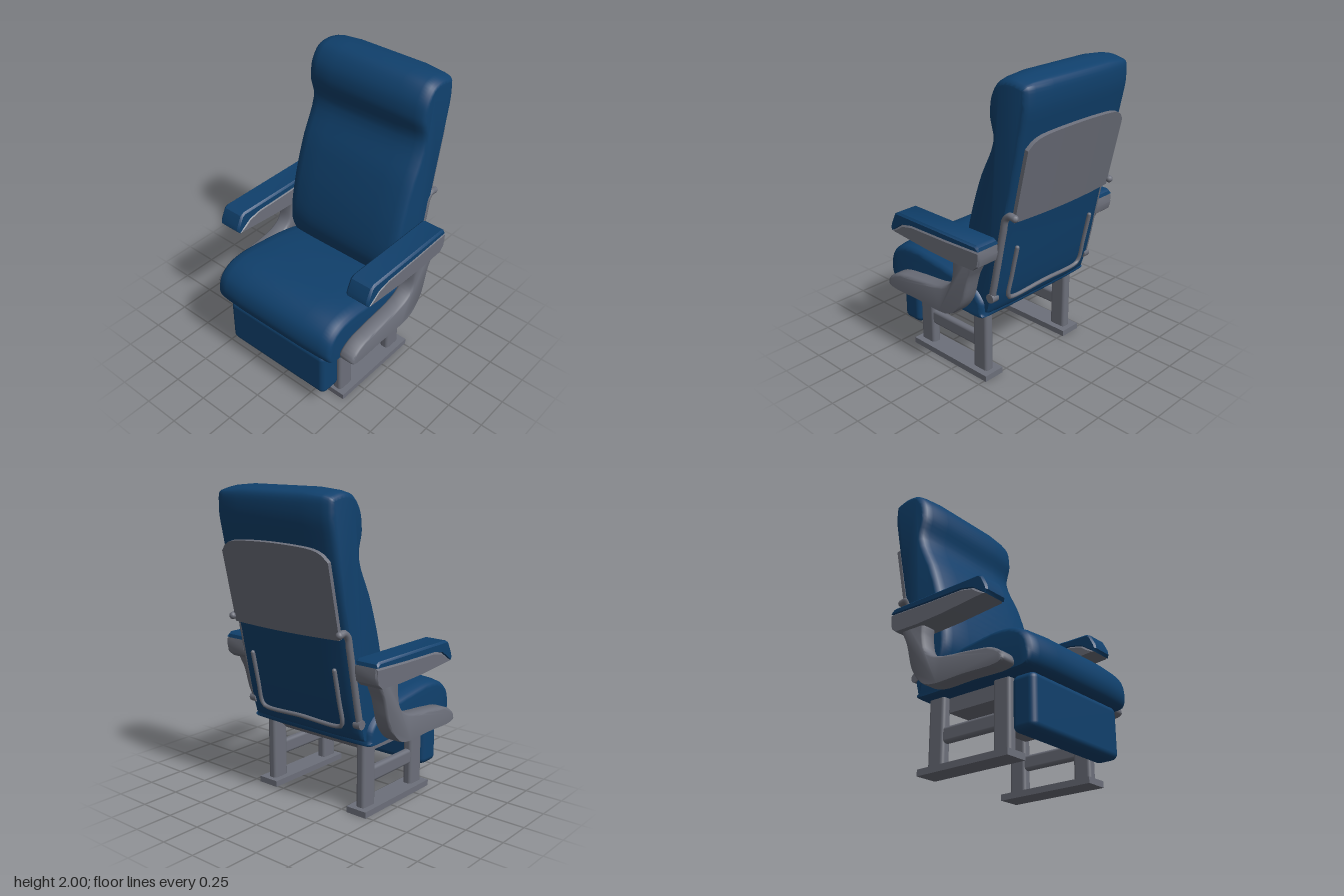
import * as THREE from 'three';
import { toCreasedNormals } from 'three/addons/utils/BufferGeometryUtils.js';
import { RoundedBoxGeometry } from 'three/addons/geometries/RoundedBoxGeometry.js';

const fabric = new THREE.MeshStandardMaterial({ color: 0x10406c });
fabric.name = 'blue fabric';
const metal = new THREE.MeshStandardMaterial({ color: 0x6c6f7a });
metal.name = 'grey metal';

function add(parent, name, geometry, material, x = 0, y = 0, z = 0) {
  const mesh = new THREE.Mesh(geometry, material);
  mesh.name = name;
  mesh.position.set(x, y, z);
  parent.add(mesh);
  return mesh;
}

// Smooth closed outline through [z, y] points
function smooth(points, count) {
  const curve = new THREE.CatmullRomCurve3(points.map(([z, y]) => new THREE.Vector3(z, y, 0)), true, 'centripetal');
  return curve.getPoints(count).slice(0, -1).map((p) => [p.x, p.y]);
}

// Side outline [z, y] carried along x; each section is [x, inset]
function loft(outline, sections, crease = 0.6) {
  let pts = outline.map(([z, y]) => new THREE.Vector2(z, y));
  if (THREE.ShapeUtils.isClockWise(pts)) pts = pts.reverse();
  const n = pts.length;
  const normals = pts.map((p, i) => {
    const t = pts[(i + 1) % n].clone().sub(pts[(i + n - 1) % n]).normalize();
    return new THREE.Vector2(t.y, -t.x);
  });
  const positions = [];
  const index = [];
  for (const [x, inset] of sections) {
    pts.forEach((p, i) => {
      const m = normals[i];
      const d = inset * (1 - 0.8 * Math.max(0, -m.y)); // undersides stay flatter
      positions.push(x, p.y - m.y * d, p.x - m.x * d);
    });
  }
  for (let s = 0; s < sections.length - 1; s++) {
    for (let j = 0; j < n; j++) {
      const k = (j + 1) % n;
      const a = s * n + j, b = s * n + k, c = a + n, d = b + n;
      index.push(a, c, b, c, d, b);
    }
  }
  const last = (sections.length - 1) * n;
  for (const [a, b, c] of THREE.ShapeUtils.triangulateShape(pts, [])) {
    index.push(a, b, c, last + a, last + c, last + b);
  }
  const g = new THREE.BufferGeometry();
  g.setAttribute('position', new THREE.Float32BufferAttribute(positions, 3));
  g.setIndex(index);
  return toCreasedNormals(g, crease);
}

// Mirrored sections from the outer half, widest first
const mirrored = (half) => [
  ...half.map(([x, d]) => [-x, d]),
  ...half.slice().reverse(),
];

function rod(points, radius) {
  const path = new THREE.CatmullRomCurve3(points.map((p) => new THREE.Vector3(...p)), false, 'centripetal');
  return new THREE.TubeGeometry(path, 48, radius, 10, false);
}

function rodWithEnds(parent, name, points, radius) {
  add(parent, name, rod(points, radius), metal);
  for (const p of [points[0], points[points.length - 1]]) {
    add(parent, name + 'End', new THREE.SphereGeometry(radius, 10, 8), metal, ...p);
  }
}

export function createModel() {
  const model = new THREE.Group();
  model.name = 'reclinerSeat';

  // Backrest with headrest bulge
  const back = smooth([
    [-0.44, 2.0], [-0.36, 1.975], [-0.295, 1.89], [-0.275, 1.78], [-0.3, 1.62], [-0.19, 1.36],
    [-0.095, 1.05], [-0.062, 0.82], [-0.09, 0.7], [-0.2, 0.52], [-0.28, 0.495], [-0.32, 0.54],
    [-0.455, 1.15], [-0.57, 1.68], [-0.603, 1.87], [-0.59, 1.965], [-0.53, 1.99],
  ], 80);
  add(model, 'backrest', loft(back, mirrored([[0.45, 0.05], [0.442, 0.035], [0.425, 0.022], [0.38, 0.012], [0.25, 0]]), 0.8), fabric);

  // Seat cushion
  const seat = smooth([
    [0.61, 0.57], [0.6, 0.51], [0.57, 0.472], [0.52, 0.46], [0.3, 0.46], [0, 0.46], [-0.25, 0.46], [-0.275, 0.47],
    [-0.28, 0.52], [-0.27, 0.575], [-0.2, 0.65], [-0.06, 0.695], [0.15, 0.73], [0.38, 0.75], [0.5, 0.725], [0.58, 0.66],
  ], 72);
  add(model, 'seatCushion', loft(seat, mirrored([[0.48, 0.05], [0.474, 0.033], [0.455, 0.02], [0.4, 0.01], [0.25, 0]]), 0.8), fabric);

  // Leg rest and the pan below the seat
  add(model, 'legRest', new RoundedBoxGeometry(0.82, 0.33, 0.16, 3, 0.04), fabric, 0, 0.295, 0.48);
  const pan = [[0.39, 0.465], [0.27, 0.37], [-0.11, 0.37], [-0.22, 0.465]];
  add(model, 'seatPan', loft(pan, [[-0.36, 0], [0.36, 0]]), metal);

  // Curved shell on the back
  const shell = new THREE.BoxGeometry(0.84, 0.55, 0.025, 24, 8, 1);
  const pos = shell.attributes.position;
  for (let i = 0; i < pos.count; i++) {
    const x = pos.getX(i);
    const t = Math.abs(x) / 0.42;
    const up = (pos.getY(i) + 0.275) / 0.55;
    pos.setY(i, up * (0.55 - 0.03 * t * t - 0.06 * t ** 10));
    pos.setZ(i, pos.getZ(i) + 0.1 * x * x);
  }
  const shellMesh = add(model, 'backShell', toCreasedNormals(shell, 0.6), metal, 0, 1.15, -0.482);
  shellMesh.rotation.x = -0.212;

  // Pocket frame: a U-shaped rod
  rodWithEnds(model, 'pocketFrame', [
    [-0.335, 0.95, -0.42], [-0.335, 0.75, -0.376], [-0.335, 0.61, -0.346], [-0.315, 0.585, -0.34],
    [0, 0.585, -0.342], [0.315, 0.585, -0.34], [0.335, 0.61, -0.346], [0.335, 0.75, -0.376], [0.335, 0.95, -0.42],
  ], 0.014);

  // Armrest outlines; the pad sits on the trim line
  const trimLine = [[0.385, 0.9], [0.34, 0.93], [0.29, 0.965], [0.2, 0.985], [-0.1, 0.99], [-0.375, 1.0]];
  const pad = [...trimLine, [-0.37, 1.022], [-0.35, 1.035], [0.33, 1.035], [0.36, 1.02], [0.395, 0.95], [0.4, 0.92]];
  const trim = [...trimLine, [-0.385, 0.95], [-0.37, 0.9], [-0.33, 0.87], [-0.15, 0.865], [0.05, 0.872], [0.28, 0.89], [0.34, 0.895]];
  const bracket = smooth([
    [-0.135, 0.9], [-0.125, 0.8], [-0.1, 0.7], [-0.02, 0.64], [0.25, 0.602], [0.405, 0.575], [0.485, 0.52], [0.49, 0.485],
    [0.45, 0.465], [0.2, 0.465], [-0.05, 0.465], [-0.13, 0.5], [-0.21, 0.6], [-0.265, 0.78], [-0.31, 0.88], [-0.3, 0.93],
  ], 64);

  for (const side of [-1, 1]) {
    const label = side > 0 ? 'left' : 'right';
    const arm = new THREE.Group();
    arm.name = label + 'Armrest';
    arm.position.x = side * 0.533;
    model.add(arm);
    add(arm, 'armPad', loft(pad, mirrored([[0.083, 0.012], [0.07, 0]])), fabric);
    add(arm, 'armTrim', loft(trim, mirrored([[0.083, 0.012], [0.07, 0]])), metal);
    add(arm, 'armBracket', loft(bracket, mirrored([[0.055, 0.016], [0.05, 0.007], [0.038, 0]]), 0.9), metal);

    // Recline rod beside the backrest
    const x = side * 0.432;
    rodWithEnds(model, label + 'ReclineRod', [
      [x, 1.185, -0.49], [x, 1.19, -0.45], [x, 1.165, -0.42], [x, 1.08, -0.4], [x, 0.75, -0.335], [x, 0.61, -0.305],
    ], 0.023);
    const pivot = add(model, label + 'RodPivot', new THREE.CylinderGeometry(0.03, 0.03, 0.05, 16), metal, x, 0.615, -0.31);
    pivot.rotation.z = Math.PI / 2;

    // Base: floor plate, two posts and a rail
    const base = new THREE.Group();
    base.name = label + 'Base';
    base.position.x = side * 0.375;
    model.add(base);
    add(base, 'floorPlate', new THREE.BoxGeometry(0.15, 0.04, 0.675), metal, 0, 0.02, 0.073);
    add(base, 'frontPost', new RoundedBoxGeometry(0.066, 0.46, 0.122, 3, 0.022), metal, 0, 0.25, 0.328);
    add(base, 'rearPost', new RoundedBoxGeometry(0.066, 0.46, 0.122, 3, 0.022), metal, 0, 0.25, -0.168);
    add(base, 'sideRail', new RoundedBoxGeometry(0.05, 0.1, 0.46, 3, 0.02), metal, 0, 0.23, 0.08);
  }
  return model;
}
